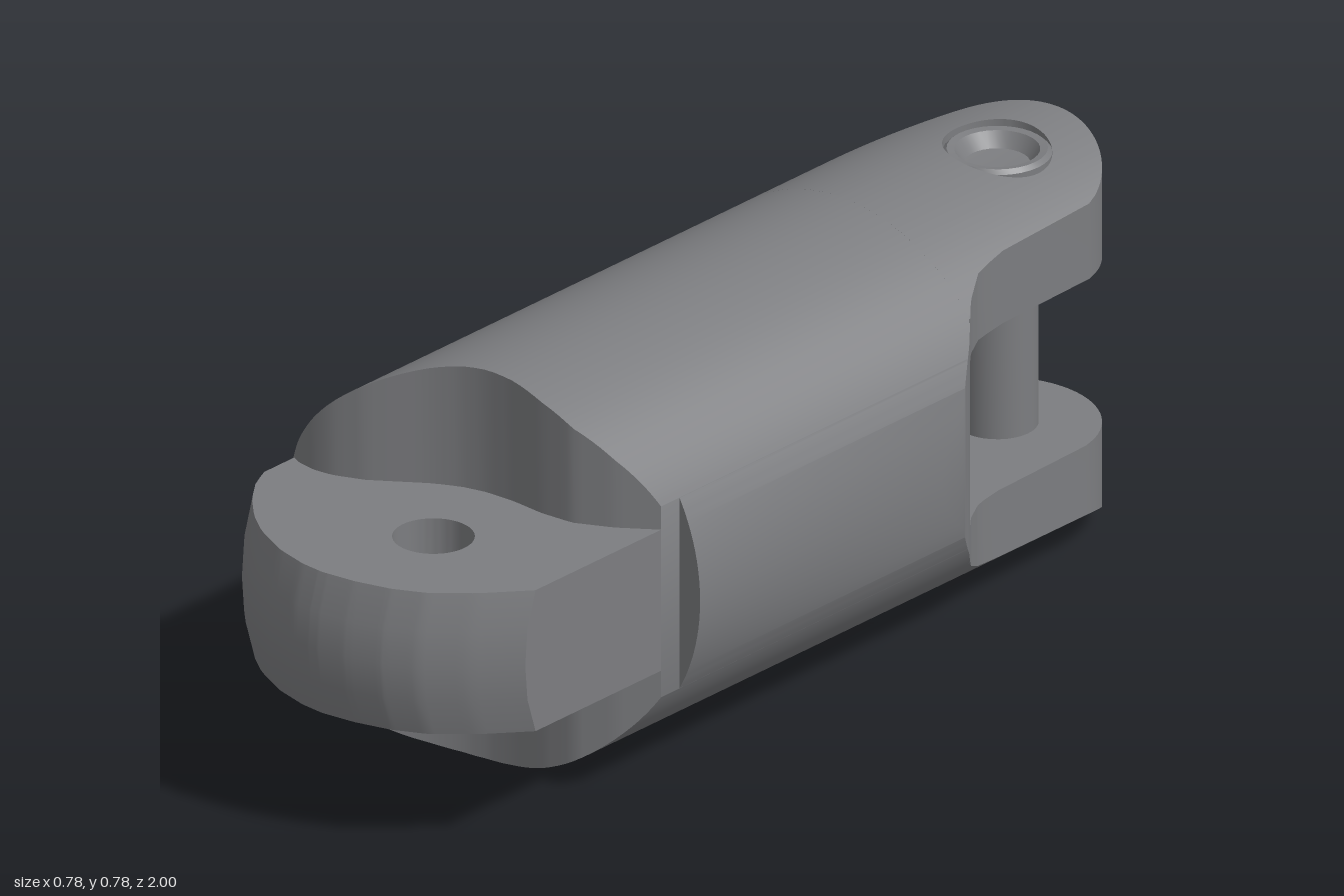
import * as THREE from 'three';
import { mergeGeometries, toCreasedNormals } from 'three/addons/utils/BufferGeometryUtils.js';

const R = 0.39;                               // radius of the barrel, also its centre height
const rise = x => Math.sqrt(Math.max(0, R * R - x * x));
const top = x => R + rise(x);
const bottom = x => R - rise(x);
const arc = (x, cx, r) => Math.sqrt(Math.max(0, r * r - (x - cx) ** 2));

// Straight-line reading of an outline given as [x, z] points
function along(points, x) {
  for (let i = 1; i < points.length; i++) {
    const [x0, z0] = points[i - 1], [x1, z1] = points[i];
    if (x <= x1) return z0 + (z1 - z0) * Math.max(0, (x - x0) / (x1 - x0));
  }
  return points[points.length - 1][1];
}

// Plan outline at the back: tapered left side, round eye, necked right side
const LEFT = [[-0.39, -0.31], [-0.12, -0.895]];
const RIGHT = [[0.239, -0.81], [0.241, -0.62], [0.255, -0.53], [0.285, -0.475],
  [0.33, -0.42], [0.37, -0.36], [0.39, -0.28]];
const back = x => x < -0.12 ? along(LEFT, x)
  : x < 0.239 ? -0.81 - arc(x, 0.05, 0.19) : along(RIGHT, x);

// Wavy front shoulder of the barrel, and round nose of the tongue
const SHOULDER = [[-0.39, 0.63], [-0.34, 0.655], [-0.3, 0.66], [-0.26, 0.655], [-0.2, 0.63],
  [-0.1, 0.56], [-0.05, 0.535], [0, 0.522], [0.06, 0.518], [0.13, 0.522], [0.2, 0.515],
  [0.27, 0.48], [0.34, 0.43]];
const NOSE = [[-0.39, 0.62], [-0.37, 0.73], [-0.34, 0.8], [-0.3, 0.855], [-0.25, 0.905],
  [-0.2, 0.942], [-0.12, 0.98], [-0.05, 0.997], [0, 1], [0.07, 0.99], [0.14, 0.97],
  [0.2, 0.94], [0.27, 0.88], [0.34, 0.8]];

// Loft a closed section of [y, z] points from x0 to x1, closer samples at the ends
function loft(x0, x1, section, steps = 32) {
  const pos = [], index = [];
  let n = 0;
  for (let s = 0; s <= steps; s++) {
    const x = (x0 + x1) / 2 - (x1 - x0) / 2 * Math.cos(Math.PI * s / steps);
    const pts = section(x);
    n = pts.length;
    for (const [y, z] of pts) pos.push(x, y, z);
  }
  for (let s = 0; s < steps; s++) {
    for (let i = 0; i < n; i++) {
      const a = s * n + i, b = s * n + (i + 1) % n;
      index.push(a, b, b + n, a, b + n, a + n);
    }
  }
  for (let i = 1; i < n - 1; i++) {
    const e = steps * n;
    index.push(0, i + 1, i, e, e + i, e + i + 1);
  }
  const g = new THREE.BufferGeometry();
  g.setAttribute('position', new THREE.Float32BufferAttribute(pos, 3));
  g.setIndex(index);
  return g;
}

// Rectangular section: four functions of x
const box = (zBack, zFront, yLow, yHigh) => x => {
  const b = zBack(x), f = Math.max(b, zFront(x)), l = yLow(x), h = Math.max(l, yHigh(x));
  return [[h, b], [h, f], [l, f], [l, b]];
};

export function createModel() {
  const group = new THREE.Group();
  const metal = new THREE.MeshStandardMaterial({ color: 0x7c7d80 });
  metal.name = 'grey metal';
  const add = (name, parts) => {
    const mesh = new THREE.Mesh(toCreasedNormals(mergeGeometries(parts), 0.7), metal);
    mesh.name = name;
    group.add(mesh);
  };

  // Barrel, cut back on its right flank
  const throat = x => Math.max(back(x), -0.45);
  add('barrel', [
    loft(-R, 0.34, box(throat, x => along(SHOULDER, x), bottom, top), 56),
    loft(0.34, R, box(throat, () => 0.38, bottom, top), 16),
  ]);

  // Upper fork arm, with a seat for the pin head
  const throatZ = () => -0.45, armLow = () => 0.55;
  const seat = x => arc(x, 0.05, 0.1);
  add('upperForkArm', [
    loft(-0.325, -0.05, box(back, throatZ, armLow, top)),
    loft(-0.05, 0.15, box(back, x => -0.81 - seat(x), armLow, top)),
    loft(-0.05, 0.15, box(x => -0.81 + seat(x), throatZ, armLow, top)),
    loft(0.15, 0.305, box(back, throatZ, armLow, top)),
  ]);

  // Lower fork arm
  add('lowerForkArm', [loft(-0.325, 0.305, box(back, throatZ, bottom, () => 0.22), 80)]);

  // Tongue with rounded nose and a through hole
  const low = x => Math.max(0.252, bottom(x)), high = x => Math.min(0.535, top(x));
  const root = () => 0.36;
  const eye = x => arc(x, 0.05, 0.075);
  const nosed = zBack => x => {
    const b = zBack(x), f = along(NOSE, x), l = low(x), h = high(x), e = (h - l) * 0.25;
    return [[h, b], [h, f - 0.028], [h - e, f - 0.006], [(h + l) / 2, f],
      [l + e, f - 0.006], [l, f - 0.028], [l, b]];
  };
  add('tongue', [
    loft(-R, -0.025, nosed(root)),
    loft(-0.025, 0.125, box(root, x => 0.725 - eye(x), low, high)),
    loft(-0.025, 0.125, nosed(x => 0.725 + eye(x))),
    loft(0.125, 0.34, nosed(root)),
  ]);

  // Pin with a dished head
  const profile = [[0.075, 0.18], [0.075, 0.6], [0.1, 0.6], [0.1, 0.762], [0.092, 0.77],
    [0.078, 0.768], [0.06, 0.74], [0, 0.735]].map(p => new THREE.Vector2(...p));
  const pin = new THREE.LatheGeometry(profile, 32);
  pin.translate(0.05, 0, -0.81);
  add('pin', [pin]);

  return group;
}
